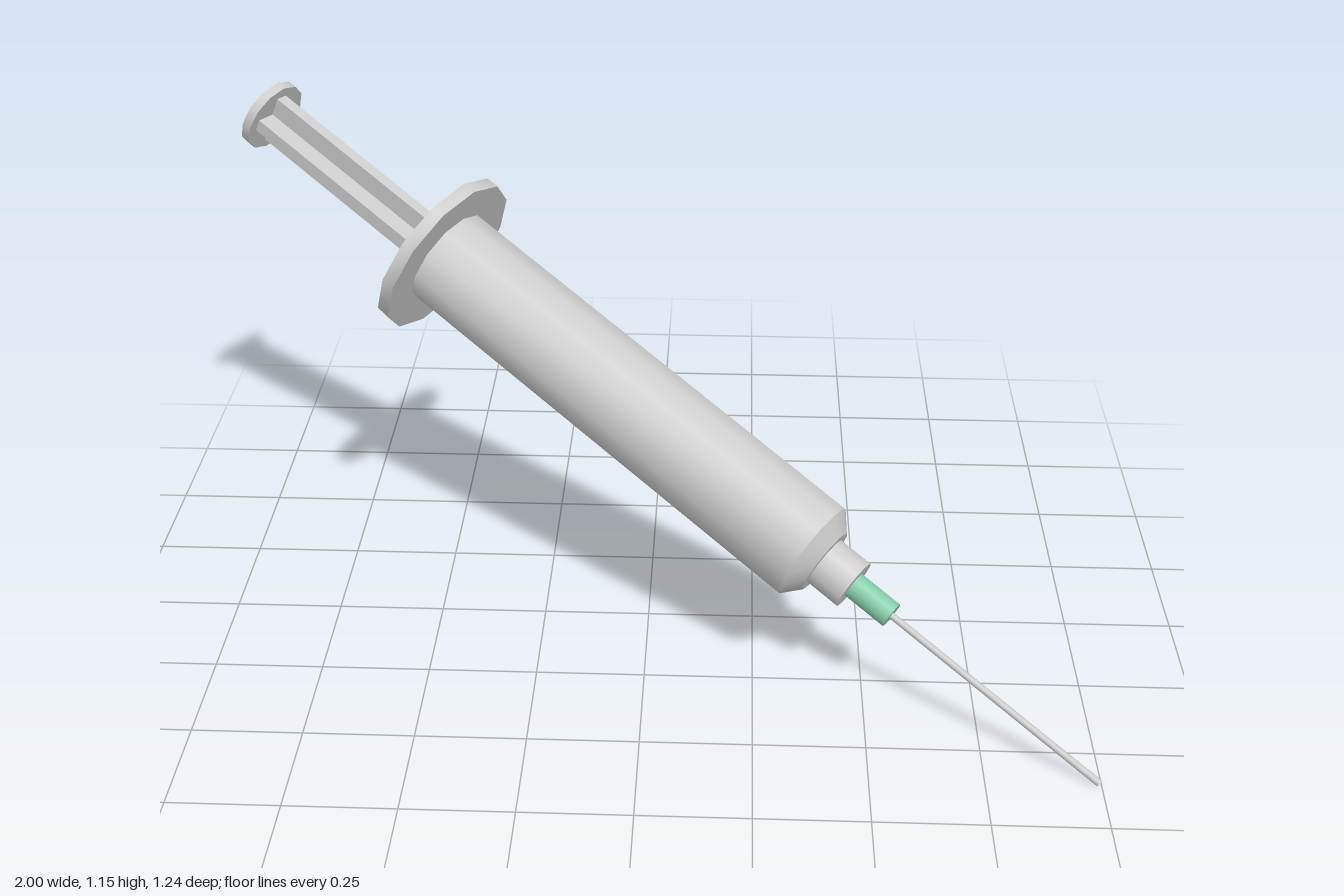
import * as THREE from 'three';
import { toCreasedNormals } from 'three/addons/utils/BufferGeometryUtils.js';

const SIDES = 12;
const grey = new THREE.MeshStandardMaterial({ color: 0xcccccc });
const green = new THREE.MeshStandardMaterial({ color: 0x84cba8 });

export function createModel() {
  // Built upright: needle tip at the origin, thumb rest at the top.
  const syringe = new THREE.Group();
  syringe.name = 'syringe';

  const add = (name, geometry, material = grey, parent = syringe) => {
    const mesh = new THREE.Mesh(geometry, material);
    mesh.name = name;
    parent.add(mesh);
    return mesh;
  };
  const rod = (name, radius, from, to, sides = SIDES, material = grey, parent = syringe) => {
    const g = new THREE.CylinderGeometry(radius, radius, to - from, sides);
    g.translate(0, (from + to) / 2, 0);
    return add(name, g, material, parent);
  };
  const turned = (name, profile) => {
    const g = new THREE.LatheGeometry(profile.map(([r, y]) => new THREE.Vector2(r, y)), SIDES);
    return add(name, toCreasedNormals(g, 0.7));
  };

  // Needle, coloured hub and nozzle
  rod('needle', 0.008, 0, 0.58, 8);
  rod('needleHub', 0.031, 0.57, 0.69, SIDES, green);
  rod('nozzle', 0.061, 0.677, 0.78);

  // Hollow barrel with a bevelled front end, open at the back
  turned('barrel', [
    [0, 0.76], [0.08, 0.76], [0.122, 0.797], [0.122, 1.91],
    [0.11, 1.91], [0.11, 0.81], [0, 0.81],
  ]);

  // Finger flange ring around the barrel mouth
  turned('fingerFlange', [
    [0.11, 1.902], [0.205, 1.902], [0.205, 1.934], [0.11, 1.934], [0.11, 1.902],
  ]);

  // Plunger: piston, cross-shaped stem and thumb rest
  const plunger = new THREE.Group();
  plunger.name = 'plunger';
  syringe.add(plunger);
  rod('piston', 0.108, 1.36, 1.42, SIDES, grey, plunger);
  for (const [name, w, d] of [['stemFinAcross', 0.125, 0.03], ['stemFinUpright', 0.03, 0.125]]) {
    const fin = add(name, new THREE.BoxGeometry(w, 1.07, d), grey, plunger);
    fin.position.y = 1.945;
  }
  rod('thumbRest', 0.09, 2.47, 2.493, SIDES, grey, plunger);

  // Tilt the whole syringe so that the needle points down, left and forward
  const up = new THREE.Vector3(-0.778, 0.425, -0.463).normalize();
  const side = new THREE.Vector3(up.z, 0, -up.x).normalize();
  const normal = new THREE.Vector3().crossVectors(side, up);
  syringe.quaternion.setFromRotationMatrix(new THREE.Matrix4().makeBasis(side, up, normal));
  syringe.position.set(0.995, 0.007, 0.612);

  const model = new THREE.Group();
  model.name = 'model';
  model.add(syringe);
  return model;
}
